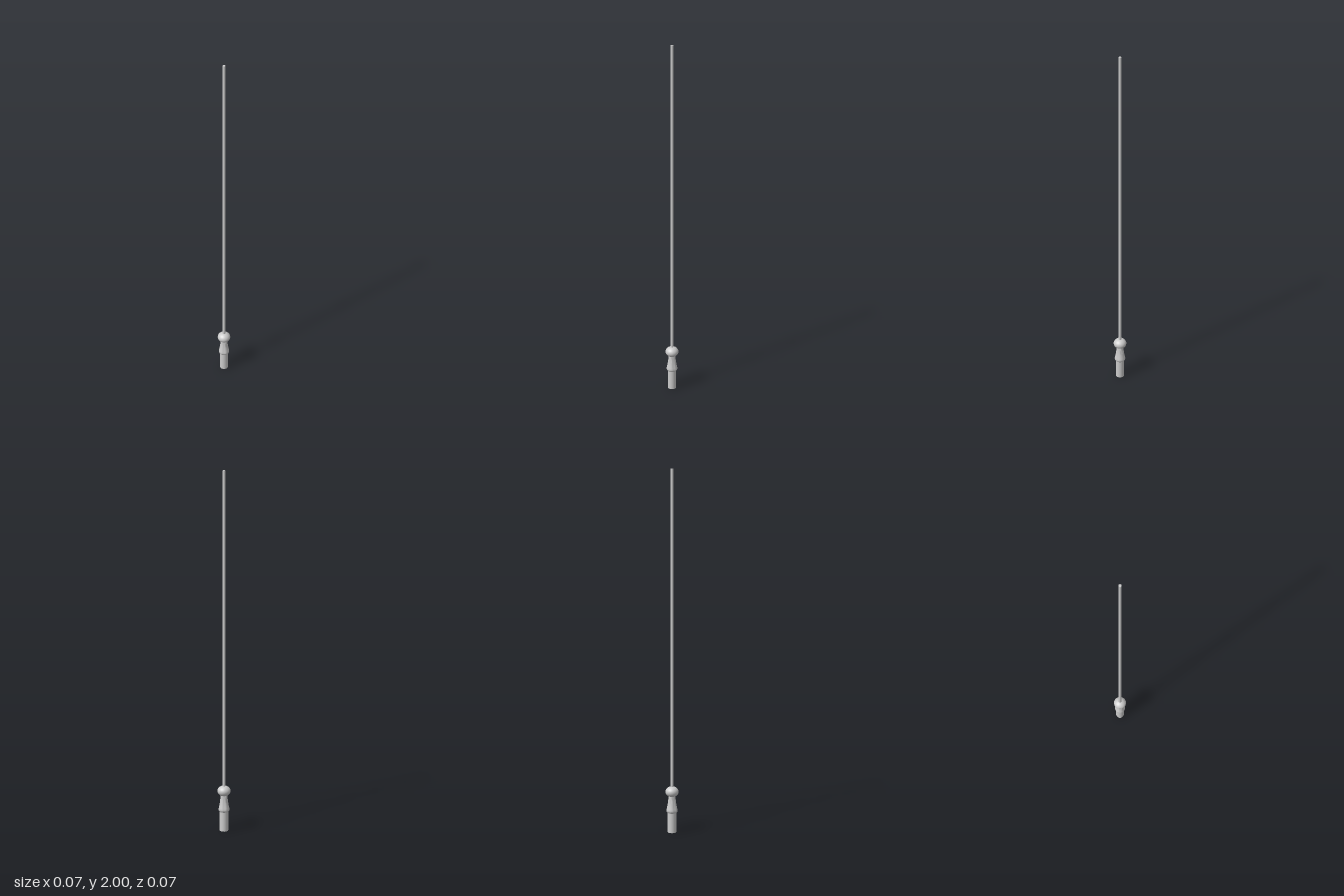
import * as THREE from 'three';
import { toCreasedNormals } from 'three/addons/utils/BufferGeometryUtils.js';

const SEGMENTS = 24;

export function createModel() {
  const group = new THREE.Group();
  const material = new THREE.MeshStandardMaterial({ color: 0xcccccc });

  const add = (name, geometry, y = 0) => {
    const mesh = new THREE.Mesh(geometry, material);
    mesh.name = name;
    mesh.position.y = y;
    group.add(mesh);
  };

  // Revolve a profile of [radius, height] points, listed bottom to top
  const turned = (points) => toCreasedNormals(
    new THREE.LatheGeometry(points.map(([r, y]) => new THREE.Vector2(r, y)), SEGMENTS), 0.7);

  // Long thin rod, sunk into the knob
  add('shaft', new THREE.CylinderGeometry(0.008, 0.008, 1.76, 16), 1.12);

  // Straight socket at the foot
  add('ferrule', new THREE.CylinderGeometry(0.024, 0.024, 0.12, SEGMENTS), 0.06);

  // Flared collar that narrows upward in a concave curve to the neck
  const flare = new THREE.CubicBezierCurve(
    new THREE.Vector2(0.031, 0.126), new THREE.Vector2(0.026, 0.15),
    new THREE.Vector2(0.021, 0.17), new THREE.Vector2(0.019, 0.212));
  add('collar', turned([
    [0, 0.112], [0.025, 0.112], [0.03, 0.118],
    ...flare.getPoints(8).map((p) => [p.x, p.y]), [0, 0.212],
  ]));

  // Rounded, slightly flattened knob
  const knob = new THREE.SphereGeometry(0.037, SEGMENTS, 16);
  knob.scale(1, 0.8, 1);
  add('knob', knob, 0.232);

  return group;
}
